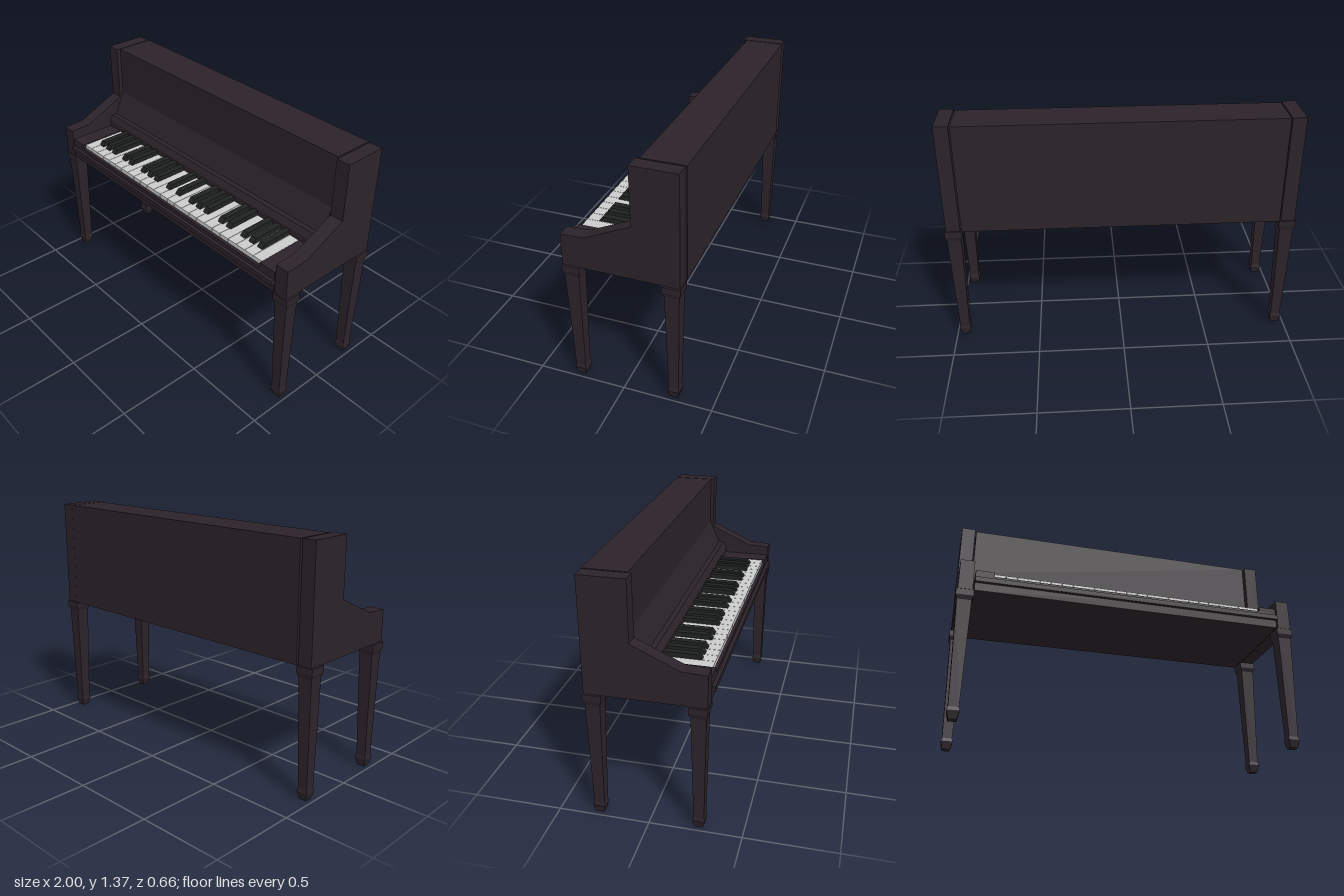
import * as THREE from 'three';

const mat = (color) => new THREE.MeshStandardMaterial({ color, flatShading: true });

export function createModel() {
  const model = new THREE.Group();
  const wood = mat(0x2b2329), ivory = mat(0xcccccc), ebony = mat(0x202222);

  const add = (name, geometry, material, x = 0, y = 0, z = 0) => {
    const mesh = new THREE.Mesh(geometry, material);
    mesh.name = name;
    mesh.position.set(x, y, z);
    model.add(mesh);
    return mesh;
  };

  // Box given by its lower and upper corners
  const box = (name, material, x0, x1, y0, y1, z0, z1) =>
    add(name, new THREE.BoxGeometry(x1 - x0, y1 - y0, z1 - z0), material,
      (x0 + x1) / 2, (y0 + y1) / 2, (z0 + z1) / 2);

  // Side profile of [z, y] points extruded along x, centred on x = 0
  const slab = (points, width) => {
    const shape = new THREE.Shape(points.map(([z, y]) => new THREE.Vector2(-z, y)));
    return new THREE.ExtrudeGeometry(shape, { depth: width, bevelEnabled: false })
      .translate(0, 0, -width / 2).rotateY(Math.PI / 2);
  };

  // Case: upper panel, sloped fallboard, ledge and key bed
  add('case', slab([
    [-0.33, 0.737], [0.31, 0.737], [0.31, 0.835], [0.02, 0.835], [0.02, 0.9],
    [0, 0.935], [-0.03, 0.935], [-0.095, 1.07], [-0.095, 1.37], [-0.33, 1.37],
  ], 1.804), wood);
  box('frontLip', wood, -0.902, 0.902, 0.785, 0.813, 0.305, 0.33);

  // Stepped end panels, set off from the case by a narrow gap
  const endPanel = slab([
    [-0.325, 0.737], [0.312, 0.737], [0.312, 0.917], [0.18, 0.923],
    [-0.075, 1.04], [-0.075, 1.37], [-0.325, 1.37],
  ], 0.08);

  // Square tapered leg: half width and height from foot to cap
  const legProfile = [
    [0, 0], [0.022, 0], [0.033, 0.045], [0.028, 0.065], [0.04, 0.675],
    [0.049, 0.7], [0.049, 0.735], [0, 0.735],
  ].map(([r, y]) => new THREE.Vector2(r * Math.SQRT2, y));
  const leg = new THREE.LatheGeometry(legProfile, 4).rotateY(Math.PI / 4);

  for (const [side, s] of [['left', 1], ['right', -1]]) {
    add(side + 'EndPanel', endPanel, wood, s * 0.95);
    add(side + 'FrontLeg', leg, wood, s * 0.95, 0, 0.265);
    add(side + 'BackLeg', leg, wood, s * 0.95, 0, -0.28);
    const a = s * 0.797, b = s * 0.902;
    box(side + 'KeyBlock', wood, Math.min(a, b), Math.max(a, b), 0.83, 0.863, 0.01, 0.31);
  }

  // White keys
  const count = 25, pitch = 1.59 / count;
  for (let i = 0; i < count; i++) {
    const x = -0.795 + i * pitch;
    box('whiteKey', ivory, x + 0.001, x + pitch - 0.001, 0.83, 0.86, 0.015, 0.292);
  }

  // Black keys in threes and twos, with a sloped front end
  const blackKey = slab([
    [0.015, 0.85], [0.225, 0.85], [0.222, 0.865], [0.205, 0.888], [0.015, 0.888],
  ], 0.036);
  const blackX = [-0.715, -0.65, -0.585, -0.478, -0.412, -0.29, -0.225, -0.16, -0.045,
    0.042, 0.155, 0.22, 0.285, 0.407, 0.47, 0.583, 0.647, 0.711];
  for (const x of blackX) add('blackKey', blackKey, ebony, x);

  return model;
}
